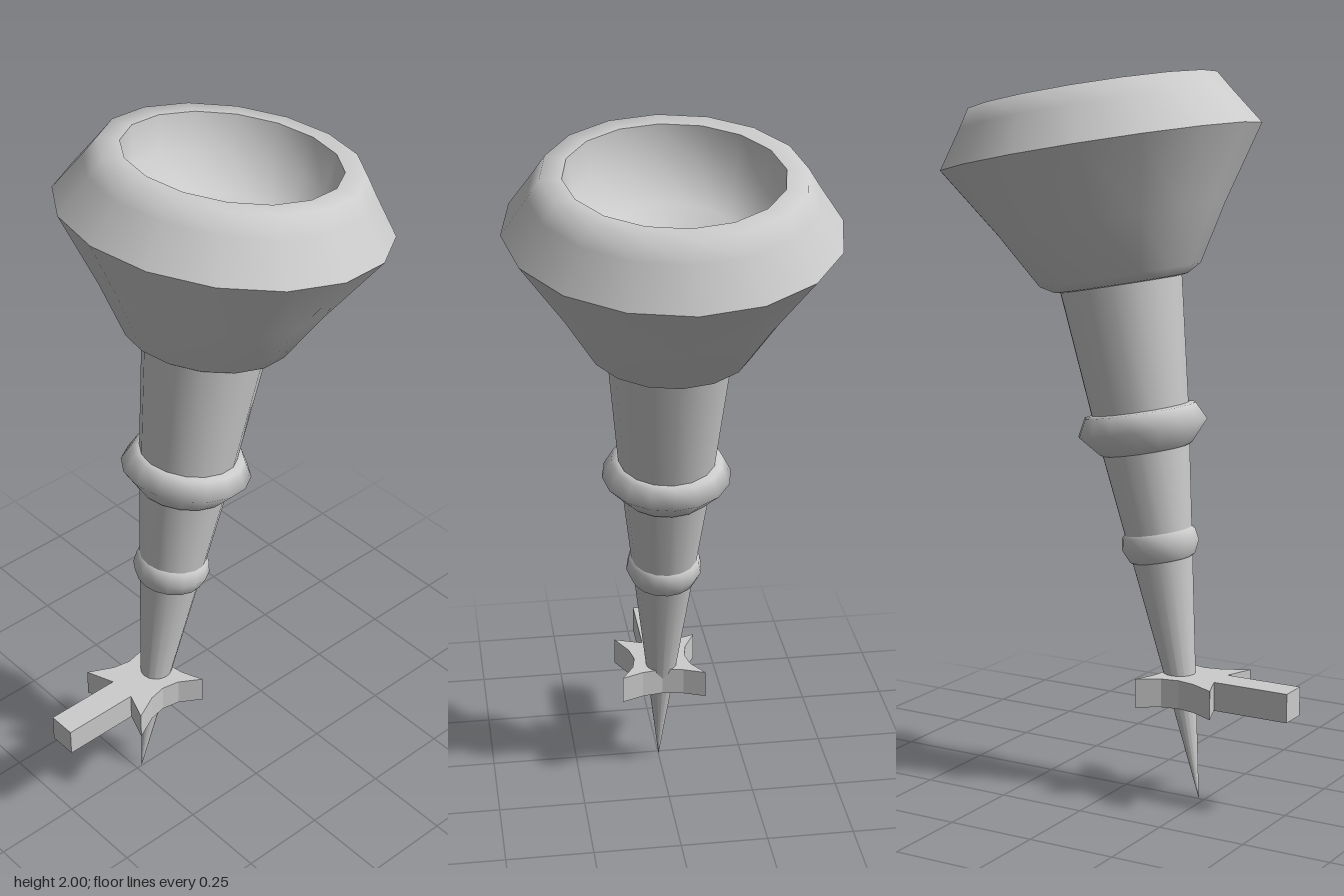
import * as THREE from 'three';

const material = new THREE.MeshStandardMaterial({ color: 0xcccccc, side: THREE.DoubleSide });
const SIDES = 16;

// Surface of revolution from [radius, height] pairs
function turned(name, profile) {
  const points = profile.map(([r, y]) => new THREE.Vector2(r, y));
  const mesh = new THREE.Mesh(new THREE.LatheGeometry(points, SIDES), material);
  mesh.name = name;
  return mesh;
}

// Flat bracket: concave four-pronged plate with an arm to the front
function wallBracket() {
  const right = [[0.04, 0.52], [0.04, 0.3], [0.12, 0.33], [0.085, 0.26], [0.075, 0.21], [0.085, 0.16], [0.122, 0.1], [0.06, 0.125]];
  const left = right.map(([x, z]) => [-x, z]).reverse();
  const outline = [...right, [0, 0.135], ...left];
  const shape = new THREE.Shape(outline.map(([x, z]) => new THREE.Vector2(x, -z)));
  const geometry = new THREE.ExtrudeGeometry(shape, { depth: 0.08, bevelEnabled: false });
  geometry.rotateX(-Math.PI / 2).translate(0, 0.28, 0);
  const mesh = new THREE.Mesh(geometry, material);
  mesh.name = 'wallBracket';
  return mesh;
}

export function createModel() {
  const model = new THREE.Group();
  model.name = 'wallTorch';

  // Torch leans back from its pointed tip
  const torch = new THREE.Group();
  torch.name = 'torch';
  torch.position.z = 0.235;
  torch.rotation.x = THREE.MathUtils.degToRad(-10);
  torch.add(
    turned('handle', [[0, 0.005], [0.085, 0.69], [0.134, 1.09], [0.17, 1.455]]),
    turned('lowerRing', [[0.084, 0.685], [0.092, 0.69], [0.108, 0.725], [0.102, 0.758], [0.09, 0.768]]),
    turned('upperRing', [[0.122, 0.99], [0.13, 0.995], [0.18, 1.052], [0.155, 1.1], [0.134, 1.104]]),
    // Cup, split at its sharp edges
    turned('cupBody', [[0.165, 1.447], [0.185, 1.45], [0.224, 1.472], [0.315, 1.625], [0.443, 1.818]]),
    turned('cupRim', [[0.443, 1.818], [0.375, 1.92], [0.343, 1.971], [0.286, 1.971]]),
    turned('cupHollow', [[0.286, 1.971], [0.268, 1.87], [0.18, 1.79], [0, 1.76]])
  );

  model.add(torch, wallBracket());
  return model;
}
